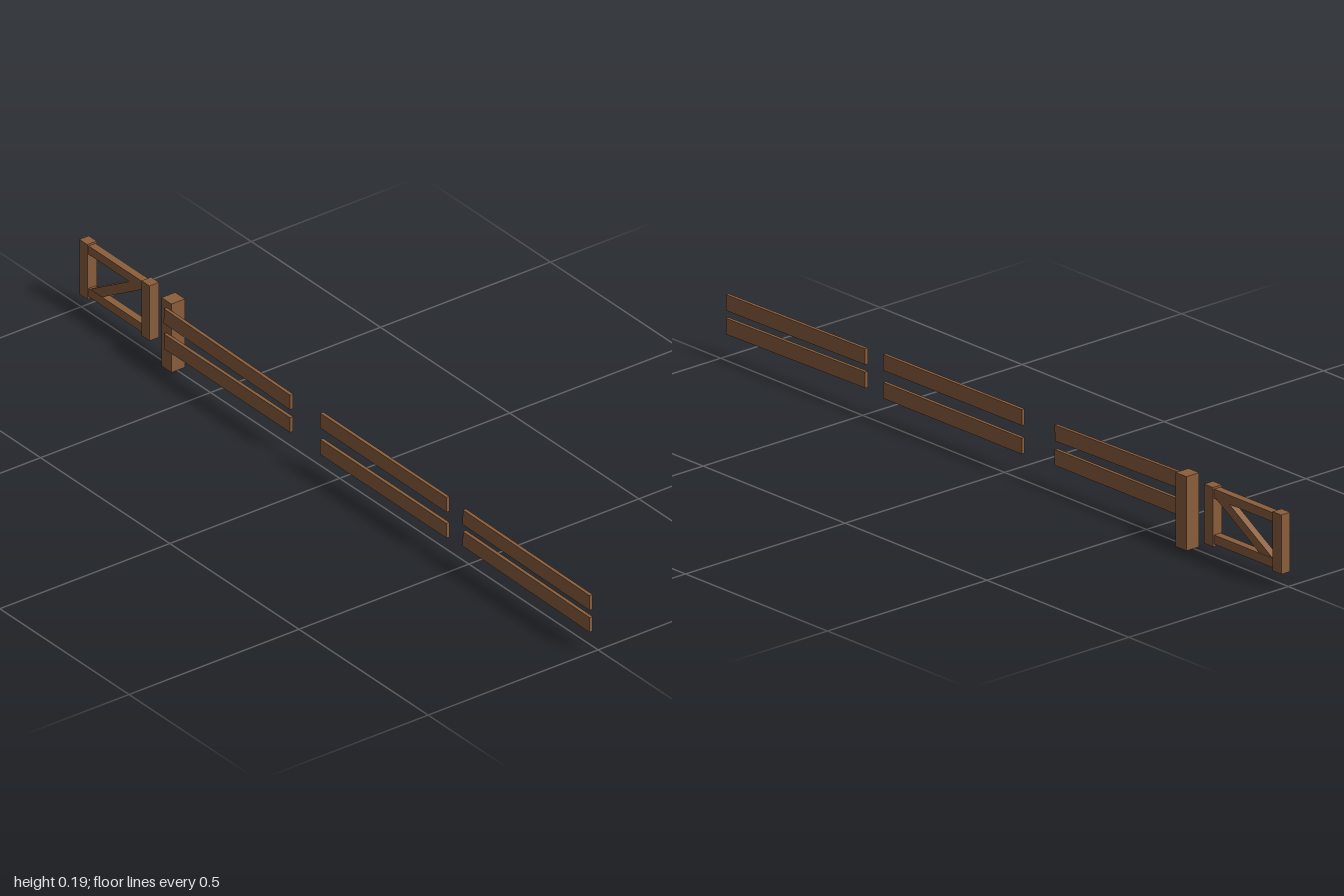
import * as THREE from 'three';

export function createModel() {
  const model = new THREE.Group();
  model.name = 'fenceAndGate';
  const wood = new THREE.MeshStandardMaterial({ color: 0x8b5e3c });
  wood.name = 'brown wood';

  // Box given by its extents [min, max] on each axis
  function beam(parent, name, x, y, z, angle = 0) {
    const size = [x, y, z].map(r => r[1] - r[0]);
    const mid = [x, y, z].map(r => (r[0] + r[1]) / 2);
    const mesh = new THREE.Mesh(new THREE.BoxGeometry(...size), wood);
    mesh.name = name;
    mesh.position.set(...mid);
    mesh.rotation.z = angle;
    parent.add(mesh);
  }

  // Gate: two stiles, two rails and a diagonal brace
  const gate = new THREE.Group();
  gate.name = 'gate';
  model.add(gate);
  const stileZ = [-0.022, 0.006], railZ = [-0.018, 0.002];
  beam(gate, 'gateStileRight', [-1, -0.969], [0.036, 0.185], stileZ);
  beam(gate, 'gateStileLeft', [-0.759, -0.728], [0.036, 0.185], stileZ);
  beam(gate, 'gateTopRail', [-0.969, -0.759], [0.157, 0.18], railZ);
  beam(gate, 'gateBottomRail', [-0.969, -0.759], [0.042, 0.065], railZ);
  beam(gate, 'gateBrace', [-0.974, -0.754], [0.099, 0.123], [-0.017, 0.001], 0.54);

  // Fence post
  beam(model, 'fencePost', [-0.667, -0.629], [0, 0.186], [-0.023, 0.017]);

  // Fence rails, slightly crooked: x start, x end, centre height, tilt
  const rails = [
    [-0.648, -0.159, 0.144, -0.015], [-0.648, -0.159, 0.079, 0],
    [-0.043, 0.446, 0.145, -0.003], [-0.043, 0.446, 0.074, 0],
    [0.509, 1, 0.138, -0.009], [0.509, 1, 0.079, -0.011],
  ];
  rails.forEach(([x0, x1, y, tilt], i) => {
    const level = i % 2 ? 'lower' : 'upper';
    beam(model, `${level}FenceRail${(i >> 1) + 1}`, [x0, x1], [y - 0.02, y + 0.02], [0.016, 0.025], tilt);
  });
  return model;
}
